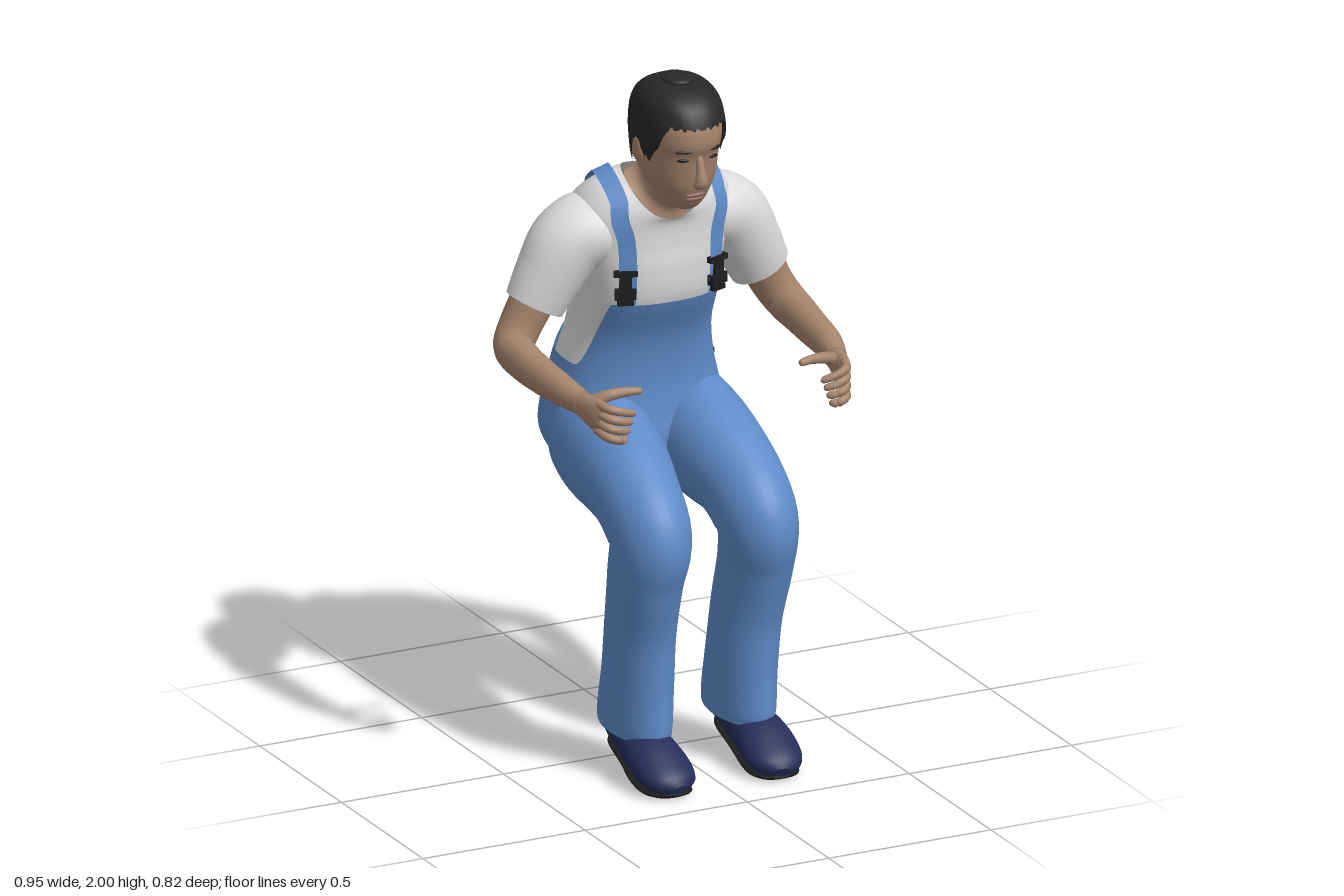
import * as THREE from 'three';

const mat = (name, color, side = THREE.FrontSide) => {
  const m = new THREE.MeshStandardMaterial({ color, side });
  m.name = name;
  return m;
};
const V = (x, y, z) => new THREE.Vector3(x, y, z);
const clamp = THREE.MathUtils.clamp, smooth = THREE.MathUtils.smoothstep, lerp = THREE.MathUtils.lerp;

// Smooth interpolation through rows of numbers
function sample(keys, s) {
  const n = keys.length - 1;
  s = clamp(s, 0, n);
  const i = Math.min(Math.floor(s), n - 1), t = s - i;
  const [a, b, c, d] = [i - 1, i, i + 1, i + 2].map(k => keys[clamp(k, 0, n)]);
  return b.map((q, k) => q + 0.5 * t * (c[k] - a[k] + t * (2 * a[k] - 5 * q + 4 * c[k] - d[k] + t * (3 * (q - c[k]) + d[k] - a[k]))));
}

// Surface from fn(u, v); u wraps when closed, ends may be capped
function grid(fn, nu, nv, { closed = true, flip = false, caps = false } = {}) {
  const pos = [], idx = [], cols = closed ? nu : nu + 1;
  const tri = (a, b, c) => (flip ? idx.push(a, c, b) : idx.push(a, b, c));
  for (let j = 0; j <= nv; j++)
    for (let i = 0; i < cols; i++) pos.push(...fn(i / nu, j / nv).toArray());
  for (let j = 0; j < nv; j++)
    for (let i = 0; i < nu; i++) {
      const k = (i + 1) % cols, a = j * cols + i, b = j * cols + k;
      tri(a, b, a + cols);
      tri(b, b + cols, a + cols);
    }
  if (caps) for (const v of [0, 1]) {
    const start = pos.length / 3, mid = V(0, 0, 0);
    for (let i = 0; i < nu; i++) {
      const p = fn(i / nu, v);
      pos.push(p.x, p.y, p.z);
      mid.addScaledVector(p, 1 / nu);
    }
    pos.push(mid.x, mid.y, mid.z);
    for (let i = 0; i < nu; i++) {
      const a = start + i, b = start + (i + 1) % nu;
      v ? tri(a, b, start + nu) : tri(b, a, start + nu);
    }
  }
  const g = new THREE.BufferGeometry();
  g.setAttribute('position', new THREE.Float32BufferAttribute(pos, 3));
  g.setIndex(idx);
  g.computeVertexNormals();
  return g;
}

// Limb along a path; rows are x, y, z, half width, half height
function limb(rows, side = 1, nu = 24, per = 6) {
  const keys = rows.map(([x, ...r]) => [x * side, ...r]), n = keys.length - 1;
  return grid((u, v) => {
    const s = v * n, [x, y, z, a, b] = sample(keys, s);
    const t = V(...sample(keys, s + 0.05)).sub(V(...sample(keys, s - 0.05))).normalize();
    const U = V(1, 0, 0).addScaledVector(t, -t.x).normalize(), W = t.clone().cross(U);
    return V(x, y, z).addScaledVector(U, a * Math.cos(u * 2 * Math.PI)).addScaledVector(W, b * Math.sin(u * 2 * Math.PI));
  }, nu, n * per, { caps: true });
}

// Point on a body of tilted rings; rows are front y, front z, back y, back z, half width, side lift
function body(keys, th, s, off = 0, e = 0.8) {
  const [yf, zf, yb, zb, w, lift] = sample(keys, s);
  const c = Math.cos(th), d = Math.sin(th);
  const C = Math.sign(c) * Math.abs(c) ** e, D = Math.sign(d) * Math.abs(d) ** e;
  const grow = 1 + off / (Math.abs(zf - zb) / 2 + 0.01);
  return V(C * (w + off), (yf + yb) / 2 + D * grow * (yf - yb) / 2 + lift * c * c, (zf + zb) / 2 + D * grow * (zf - zb) / 2);
}

const O = 4; // index of the hip ring
const TORSO = [
  [0.79, -0.1, 0.78, -0.16, 0.02, 0], [0.80, -0.07, 0.755, -0.23, 0.12, 0],
  [0.83, -0.03, 0.785, -0.325, 0.205, 0], [0.9, -0.02, 0.87, -0.388, 0.25, 0],
  [0.98, -0.03, 0.97, -0.395, 0.242, 0], [1.08, -0.035, 1.1, -0.368, 0.215, 0],
  [1.2, -0.015, 1.2, -0.338, 0.195, 0], [1.32, 0.04, 1.32, -0.308, 0.195, 0],
  [1.41, 0.05, 1.43, -0.3, 0.212, 0], [1.48, 0.045, 1.53, -0.272, 0.232, 0.015],
  [1.53, 0.045, 1.6, -0.22, 0.228, 0.03], [1.555, 0.05, 1.655, -0.155, 0.18, 0.045],
  [1.57, 0.06, 1.685, -0.115, 0.112, 0.05]];
const NECK = [
  [1.562, 0.055, 1.678, -0.11, 0.107, 0.045], [1.595, 0.06, 1.7, -0.09, 0.08, 0.02],
  [1.64, 0.09, 1.73, -0.08, 0.068, 0], [1.7, 0.1, 1.77, -0.06, 0.065, 0]];
const HEAD = [
  [1.615, 0.12, 1.65, 0.03, 0.02, 0], [1.632, 0.155, 1.68, -0.02, 0.062, 0],
  [1.68, 0.185, 1.72, -0.055, 0.087, 0], [1.72, 0.198, 1.755, -0.08, 0.1, 0],
  [1.79, 0.21, 1.82, -0.088, 0.107, 0], [1.83, 0.225, 1.86, -0.088, 0.11, 0],
  [1.88, 0.222, 1.91, -0.078, 0.108, 0], [1.935, 0.195, 1.95, -0.05, 0.096, 0],
  [1.97, 0.145, 1.978, 0, 0.066, 0], [1.985, 0.09, 1.988, 0.045, 0.012, 0]];

export function createModel() {
  const model = new THREE.Group();
  const denim = mat('blue denim', 0x5f8bc9, THREE.DoubleSide), cotton = mat('white cotton', 0xdcdcdc, THREE.DoubleSide);
  const skin = mat('skin', 0xa5846c), hairMat = mat('black hair', 0x272727, THREE.DoubleSide);
  const navy = mat('navy shoe', 0x262d58), black = mat('black plastic', 0x1e1e1e), lip = mat('lip', 0x8c685a);
  const add = (name, g, m, parent = model) => {
    const mesh = new THREE.Mesh(g, m);
    mesh.name = name;
    parent.add(mesh);
    return mesh;
  };
  const ball = (name, m, p, sx, sy, sz, rx = 0) => {
    const b = add(name, new THREE.SphereGeometry(1, 18, 12), m);
    b.position.copy(p);
    b.scale.set(sx, sy, sz);
    b.rotation.x = rx;
    return b;
  };
  const ang = u => u * 2 * Math.PI;

  // Shirt and overalls share the torso shape
  add('shirt', grid((u, v) => body(TORSO, ang(u), lerp(O + 0.5, O + 8, v)), 64, 44, { flip: true }), cotton);
  const bibTop = th => {
    const c = Math.abs(Math.cos(th));
    if (Math.sin(th) > 0) return O + 3 - 1.8 * smooth(c, 0.76, 0.97);
    return O + 1.2 + 2.9 * clamp((0.95 - c) / 0.85, 0, 1) ** 1.5;
  };
  add('overalls', grid((u, v) => body(TORSO, ang(u), v * bibTop(ang(u)), 0.008), 128, 40, { flip: true }), denim);

  // Neck and head
  add('neck', grid((u, v) => body(NECK, ang(u), v * 3, 0, 1), 36, 12, { flip: true }), skin);
  add('head', grid((u, v) => body(HEAD, ang(u), v * 9, 0, 0.92), 48, 40, { flip: true, caps: true }), skin);
  const hairline = th => {
    const d = Math.sin(th), jag = 0.07 * Math.sin(th * 31) + 0.05 * Math.sin(th * 53);
    const edge = d > 0 ? lerp(3.7, 6.1, smooth(d, 0.35, 0.75)) + 0.5 * smooth(0.25 - d, 0, 0.25)
      : lerp(4.2, 2.7, smooth(-d, 0.1, 0.45));
    return edge + jag;
  };
  add('hair', grid((u, v) => body(HEAD, ang(u), lerp(hairline(ang(u)), 9, v), 0.011, 0.92), 144, 24, { flip: true, caps: false }), hairMat);
  ball('hairCrown', hairMat, V(0, 1.983, 0.067), 0.045, 0.016, 0.055);
  add('nose', limb([[0, 1.805, 0.205, 0.009, 0.008], [0, 1.765, 0.214, 0.012, 0.013], [0, 1.73, 0.22, 0.018, 0.017],
    [0, 1.715, 0.213, 0.021, 0.014], [0, 1.706, 0.205, 0.006, 0.004]], 1, 16), skin);
  ball('upperLip', lip, V(0, 1.679, 0.184), 0.032, 0.007, 0.009);
  ball('lowerLip', lip, V(0, 1.666, 0.178), 0.027, 0.008, 0.009);

  for (const side of [1, -1]) {
    const label = side > 0 ? 'left' : 'right';
    const flip = p => V(p.x * side, p.y, p.z);

    // Face details
    ball(label + 'Eye', black, flip(body(HEAD, 1.16, 3.98, 0, 0.92)), 0.017, 0.005, 0.005).rotation.y = side * 0.35;
    ball(label + 'Eyebrow', hairMat, flip(body(HEAD, 1.14, 4.65, 0, 0.92)), 0.024, 0.005, 0.005).rotation.y = side * 0.35;
    ball(label + 'Ear', skin, V(side * 0.113, 1.795, 0.055), 0.013, 0.04, 0.025, 0.25);

    // Shoulder strap lying on the shirt, from bib to back panel
    const path = [[0.947, O + 3.1], [1.0, O + 4], [1.047, O + 5], [0.975, O + 6], [0.65, O + 7], [0.4, O + 7.3], [0, O + 7.4],
      [-0.45, O + 7.3], [-0.798, O + 7], [-1.137, O + 6], [-1.287, O + 5], [-1.42, O + 4.2], [-1.46, O + 3.6]];
    const at = w => { const [th, s] = sample(path, w * 12); return body(TORSO, th, s); };
    add(label + 'Strap', grid((u, v) => {
      const [th, s] = sample(path, v * 12);
      const dS = body(TORSO, th, s + 0.05).sub(body(TORSO, th, s - 0.05));
      const n = dS.cross(body(TORSO, th + 0.05, s).sub(body(TORSO, th - 0.05, s))).normalize();
      const t = at(Math.min(v + 0.01, 1)).sub(at(Math.max(v - 0.01, 0))).normalize();
      return flip(at(v).addScaledVector(n, 0.013).addScaledVector(n.clone().cross(t).normalize(), (u - 0.5) * 0.05));
    }, 4, 72, { closed: false }), denim);

    // Buckle of the strap
    const buckle = new THREE.Group();
    buckle.name = label + 'Buckle';
    buckle.position.copy(flip(body(TORSO, 0.96, O + 3.65, 0.016)));
    buckle.rotation.y = side * 0.35;
    for (const [w, h, y] of [[0.066, 0.016, 0.04], [0.034, 0.05, 0.012], [0.06, 0.03, -0.02], [0.045, 0.014, -0.045]]) {
      add('buckleBar', new THREE.BoxGeometry(w, h, 0.018), black, buckle).position.y = y;
    }
    model.add(buckle);
    ball(label + 'SideButton', black, V(side * 0.229, 1.07, -0.17), 0.006, 0.011, 0.011);

    // Sleeve, arm and hand
    add(label + 'Sleeve', limb([[0.13, 1.53, -0.1, 0.07, 0.08], [0.18, 1.525, -0.1, 0.1, 0.115], [0.25, 1.485, -0.105, 0.108, 0.108],
      [0.305, 1.4, -0.11, 0.097, 0.093], [0.347, 1.318, -0.115, 0.087, 0.078]], side, 32), cotton);
    add(label + 'Arm', limb([[0.335, 1.36, -0.115, 0.066, 0.064], [0.385, 1.265, -0.12, 0.06, 0.06], [0.418, 1.21, -0.1, 0.057, 0.058],
      [0.424, 1.192, -0.03, 0.05, 0.058], [0.419, 1.18, 0.07, 0.046, 0.052], [0.41, 1.172, 0.18, 0.041, 0.045],
      [0.392, 1.16, 0.27, 0.03, 0.036]], side), skin);
    add(label + 'Palm', limb([[0.394, 1.16, 0.255, 0.028, 0.034], [0.388, 1.152, 0.295, 0.026, 0.042], [0.378, 1.142, 0.335, 0.022, 0.05],
      [0.372, 1.138, 0.358, 0.012, 0.044]], side), skin);
    for (let i = 0; i < 4; i++) {
      add(label + 'Finger', limb([[0.38, 1.18 - 0.026 * i, 0.335, 0.013, 0.014], [0.367, 1.174 - 0.028 * i, 0.378, 0.013, 0.013],
        [0.335, 1.165 - 0.028 * i, 0.393, 0.012, 0.012], [0.295 + 0.008 * i, 1.152 - 0.024 * i, 0.385, 0.01, 0.01],
        [0.288 + 0.008 * i, 1.15 - 0.024 * i, 0.382, 0.003, 0.003]], side, 12, 4), skin);
    }
    add(label + 'Thumb', limb([[0.38, 1.165, 0.29, 0.018, 0.02], [0.335, 1.188, 0.315, 0.016, 0.017], [0.285, 1.195, 0.328, 0.013, 0.013],
      [0.25, 1.195, 0.338, 0.01, 0.01], [0.243, 1.195, 0.34, 0.003, 0.003]], side, 12, 4), skin);

    // Trouser leg, bent at the knee
    add(label + 'TrouserLeg', limb([[0.13, 0.91, -0.32, 0.05, 0.06], [0.134, 0.9, -0.2, 0.125, 0.15], [0.142, 0.873, -0.1, 0.136, 0.17],
      [0.147, 0.845, 0.02, 0.133, 0.158], [0.158, 0.8, 0.14, 0.12, 0.137], [0.164, 0.715, 0.232, 0.11, 0.138],
      [0.17, 0.6, 0.215, 0.1, 0.128], [0.164, 0.44, 0.172, 0.093, 0.125], [0.16, 0.29, 0.148, 0.09, 0.135],
      [0.16, 0.17, 0.131, 0.089, 0.15], [0.16, 0.13, 0.128, 0.087, 0.148]], side, 36), denim);

    // Shoe with raised heel and dark sole
    add(label + 'Shoe', limb([[0.163, 0.11, 0.03, 0.025, 0.022], [0.163, 0.113, 0.05, 0.05, 0.042], [0.165, 0.115, 0.1, 0.06, 0.055],
      [0.166, 0.1, 0.18, 0.07, 0.062], [0.168, 0.08, 0.26, 0.08, 0.062], [0.165, 0.055, 0.33, 0.082, 0.05],
      [0.16, 0.038, 0.38, 0.064, 0.034], [0.157, 0.028, 0.405, 0.025, 0.014]], side, 28), navy);
    add(label + 'Sole', limb([[0.163, 0.078, 0.035, 0.03, 0.008], [0.164, 0.067, 0.08, 0.052, 0.012], [0.166, 0.042, 0.18, 0.062, 0.012],
      [0.168, 0.02, 0.26, 0.072, 0.012], [0.165, 0.011, 0.33, 0.074, 0.011], [0.16, 0.011, 0.38, 0.055, 0.01],
      [0.157, 0.016, 0.4, 0.025, 0.005]], side, 24), black);
  }
  return model;
}
